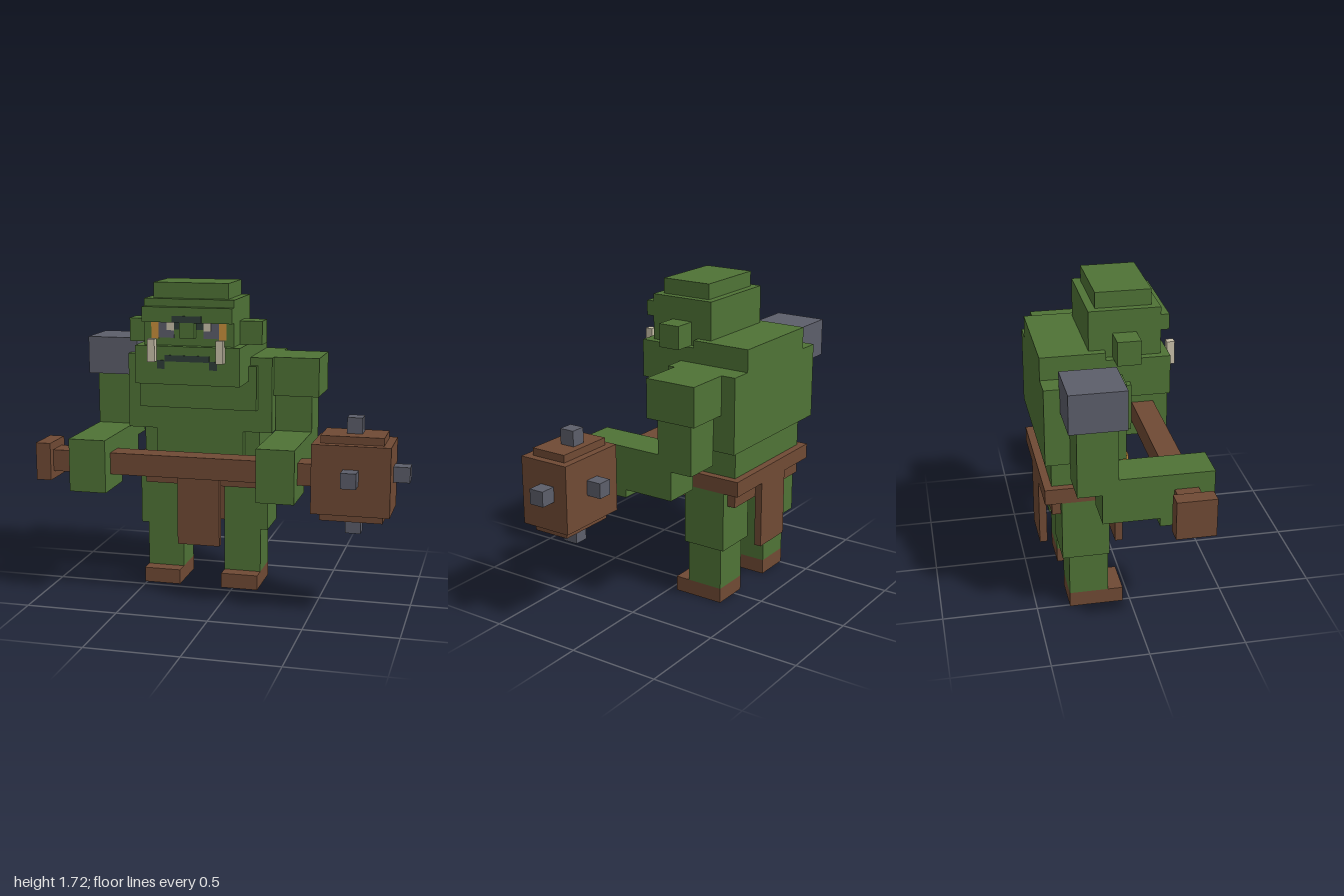
import * as THREE from 'three';

const mat = (name, color) => {
  const m = new THREE.MeshStandardMaterial({ color });
  m.name = name;
  return m;
};

export function createModel() {
  const root = new THREE.Group();
  root.name = 'ogre';
  const skin = mat('green skin', 0x4f7336);
  const brown = mat('brown wood and leather', 0x704a34);
  const iron = mat('grey iron', 0x5c5e6a);
  const ivory = mat('ivory', 0xc9c0aa);
  const gold = mat('gold', 0xc78f3b);
  const dark = mat('dark lines', 0x2e3d38);

  const CX = -0.185; // the body's own middle plane

  const group = (name) => {
    const g = new THREE.Group();
    g.name = name;
    root.add(g);
    return g;
  };
  // box from its limits in x, y and z
  const box = (parent, name, m, x0, x1, y0, y1, z0, z1) => {
    const mesh = new THREE.Mesh(new THREE.BoxGeometry(x1 - x0, y1 - y0, z1 - z0), m);
    mesh.position.set((x0 + x1) / 2, (y0 + y1) / 2, (z0 + z1) / 2);
    mesh.name = name;
    parent.add(mesh);
  };
  // box centred on the body, given its half width
  const mid = (parent, name, m, half, ...yz) => box(parent, name, m, CX - half, CX + half, ...yz);
  // pair of boxes mirrored about the body, given distances from its middle
  const pair = (parent, name, m, a, b, ...yz) => {
    box(parent, name + 'Left', m, CX + a, CX + b, ...yz);
    box(parent, name + 'Right', m, CX - b, CX - a, ...yz);
  };

  // Torso
  const torso = group('torso');
  mid(torso, 'trunk', skin, 0.405, 0.9, 1.31, -0.45, -0.04);
  mid(torso, 'hump', skin, 0.285, 1.31, 1.43, -0.45, -0.12);
  mid(torso, 'chest', skin, 0.327, 1.025, 1.267, -0.04, 0);
  mid(torso, 'waist', skin, 0.327, 0.655, 0.9, -0.41, -0.085);
  mid(torso, 'belly', skin, 0.245, 0.655, 0.9, -0.085, -0.04);

  // Belt, skirt and loincloths
  const clothes = group('clothes');
  mid(clothes, 'belt', brown, 0.367, 0.657, 0.74, -0.45, 0);
  mid(clothes, 'skirt', brown, 0.327, 0.575, 0.657, -0.41, -0.085);
  mid(clothes, 'frontLoincloth', brown, 0.12, 0.25, 0.657, -0.04, 0);
  mid(clothes, 'backLoincloth', brown, 0.12, 0.29, 0.657, -0.45, -0.41);
  mid(clothes, 'buckle', gold, 0.08, 0.655, 0.745, 0, 0.04);

  // Legs
  const legs = group('legs');
  pair(legs, 'thigh', skin, 0.12, 0.367, 0.33, 0.657, -0.365, -0.12);
  pair(legs, 'shin', skin, 0.12, 0.327, 0.083, 0.33, -0.325, -0.12);
  pair(legs, 'foot', brown, 0.12, 0.327, 0, 0.083, -0.325, -0.04);

  // Arms
  const arms = group('arms');
  pair(arms, 'upperArm', skin, 0.408, 0.61, 0.82, 1.185, -0.325, -0.12);
  pair(arms, 'forearm', skin, 0.408, 0.61, 0.66, 0.9, -0.2, 0.09);
  pair(arms, 'hand', skin, 0.408, 0.61, 0.615, 0.9, 0.09, 0.365);
  box(arms, 'shoulderLeft', skin, 0.22, 0.468, 1.1, 1.31, -0.37, -0.083);
  box(arms, 'shoulderPad', iron, -0.837, -0.555, 1.185, 1.39, -0.37, -0.083);

  // Head
  const head = group('head');
  mid(head, 'jaw', skin, 0.285, 1.187, 1.39, -0.12, 0.205);
  mid(head, 'skull', skin, 0.245, 1.39, 1.635, -0.2, 0.163);
  mid(head, 'crown', skin, 0.205, 1.635, 1.717, -0.16, 0.122);
  mid(head, 'browRidge', skin, 0.245, 1.515, 1.595, 0.163, 0.205);
  mid(head, 'nose', skin, 0.04, 1.433, 1.515, 0.163, 0.205);
  pair(head, 'ear', skin, 0.245, 0.367, 1.39, 1.515, -0.08, 0.04);
  pair(head, 'tusk', ivory, 0.165, 0.205, 1.31, 1.43, 0.205, 0.245);

  // Painted face details
  const face = group('face');
  pair(face, 'eyeRim', gold, 0.165, 0.205, 1.425, 1.515, 0.163, 0.167);
  pair(face, 'eyeShadow', iron, 0.08, 0.165, 1.43, 1.515, 0.163, 0.166);
  pair(face, 'eye', ivory, 0.08, 0.12, 1.47, 1.515, 0.163, 0.168);
  mid(face, 'brow', dark, 0.08, 1.515, 1.55, 0.205, 0.208);
  pair(face, 'browEnd', dark, 0.04, 0.08, 1.475, 1.515, 0.163, 0.167);
  mid(face, 'mouth', dark, 0.122, 1.31, 1.343, 0.205, 0.208);
  pair(face, 'mouthCorner', dark, 0.122, 0.163, 1.27, 1.315, 0.205, 0.209);

  // Spiked club
  const club = group('club');
  box(club, 'pommel', brown, -1, -0.918, 0.657, 0.86, 0.12, 0.323);
  box(club, 'handle', brown, -0.918, 0.51, 0.7, 0.817, 0.16, 0.282);
  box(club, 'clubHead', brown, 0.51, 0.915, 0.577, 0.94, 0.083, 0.367);
  box(club, 'clubHeadCaps', brown, 0.55, 0.875, 0.535, 0.98, 0.123, 0.325);
  box(club, 'verticalSpikes', iron, 0.673, 0.753, 0.452, 1.063, 0.163, 0.245);
  box(club, 'crossSpikes', iron, 0.673, 0.753, 0.737, 0.818, 0, 0.447);
  box(club, 'endSpike', iron, 0.915, 1, 0.737, 0.818, 0.163, 0.245);

  return root;
}
